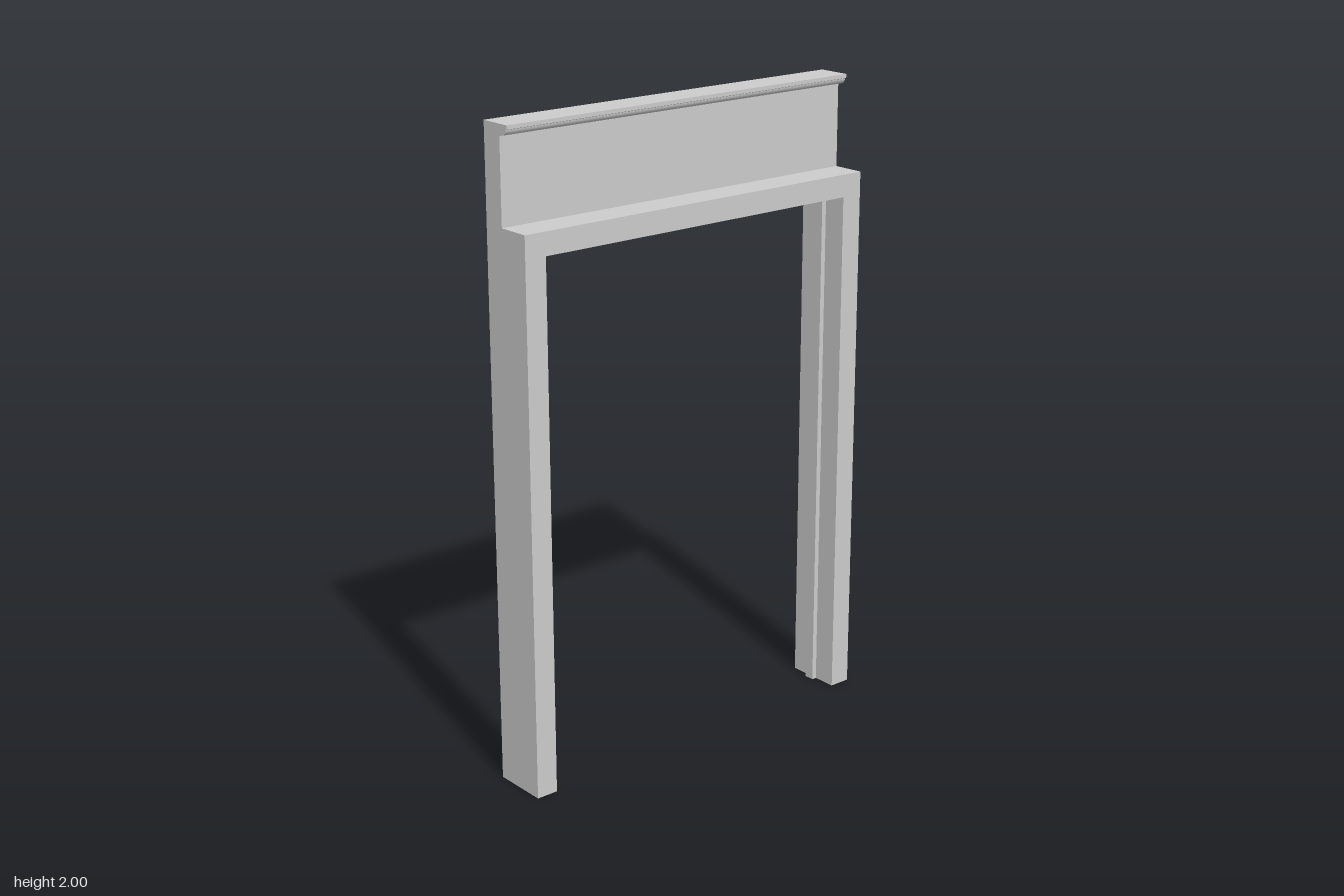
import * as THREE from 'three';

const HALF = 0.635;   // half length of the frame along z
const BACK = -0.09;   // rear plane
const FRONT = 0.088;  // front plane
const STEP = -0.018;  // face of the raised header board

// Upside-down U: two legs and a lintel, extruded along x
function portal(name, outer, outerTop, inner, innerTop, x0, x1, material) {
  const s = new THREE.Shape([
    [-outer, 0], [-inner, 0], [-inner, innerTop], [inner, innerTop],
    [inner, 0], [outer, 0], [outer, outerTop], [-outer, outerTop],
  ].map(([z, y]) => new THREE.Vector2(z, y)));
  const g = new THREE.ExtrudeGeometry(s, { depth: x1 - x0, bevelEnabled: false });
  g.rotateY(Math.PI / 2);
  g.translate(x0, 0, 0);
  const mesh = new THREE.Mesh(g, material);
  mesh.name = name;
  return mesh;
}

export function createModel() {
  const model = new THREE.Group();
  model.name = 'doorFrame';
  const material = new THREE.MeshStandardMaterial({ color: 0xcccccc });

  // Jambs with lintel, and the thin door stop running round the opening
  model.add(portal('jambsAndLintel', HALF, 1.71, 0.565, 1.64, BACK, FRONT, material));
  model.add(portal('doorStop', 0.566, 1.641, 0.549, 1.624, -0.02, 0.012, material));

  // Header board with a rounded moulding along its top edge
  const p = new THREE.Shape();
  p.moveTo(BACK, 1.71);
  p.lineTo(STEP, 1.71);
  p.lineTo(STEP, 1.966);
  p.lineTo(-0.009, 1.968);
  p.quadraticCurveTo(0.009, 1.97, 0.011, 1.986);
  p.lineTo(0.016, 1.988);
  p.lineTo(0.016, 2);
  p.lineTo(BACK, 2);
  const g = new THREE.ExtrudeGeometry(p, { depth: 2 * HALF, bevelEnabled: false, curveSegments: 8 });
  g.translate(0, 0, -HALF);
  const header = new THREE.Mesh(g, material);
  header.name = 'headerBoardWithMoulding';
  model.add(header);

  return model;
}
